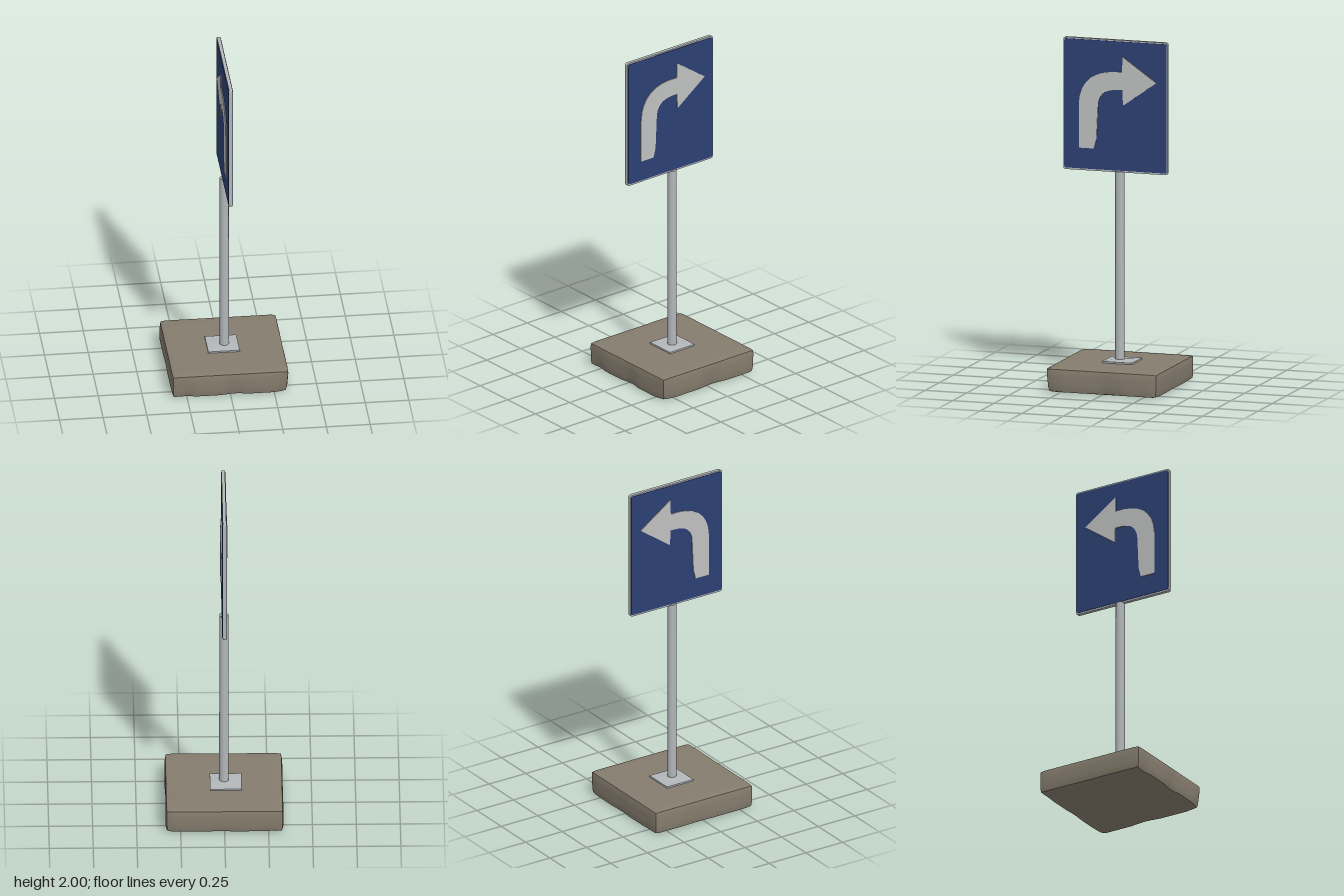
import * as THREE from 'three';
import { mergeVertices, toCreasedNormals } from 'three/addons/utils/BufferGeometryUtils.js';

const material = (name, color) => Object.assign(new THREE.MeshStandardMaterial({ color }), { name });

// Rounded rectangle in the sign plane (u points towards -z, v is up)
function roundedRect(u0, v0, u1, v1, r) {
  const s = new THREE.Shape();
  s.moveTo(u0 + r, v0);
  s.lineTo(u1 - r, v0).quadraticCurveTo(u1, v0, u1, v0 + r);
  s.lineTo(u1, v1 - r).quadraticCurveTo(u1, v1, u1 - r, v1);
  s.lineTo(u0 + r, v1).quadraticCurveTo(u0, v1, u0, v1 - r);
  s.lineTo(u0, v0 + r).quadraticCurveTo(u0, v0, u0 + r, v0);
  return s;
}

// Arrow that rises, bends and points towards -z
function arrowShape() {
  const s = new THREE.Shape();
  s.moveTo(-0.24, 1.365);
  s.lineTo(-0.15, 1.365).lineTo(-0.135, 1.42).lineTo(-0.125, 1.63);
  s.bezierCurveTo(-0.11, 1.69, -0.08, 1.715, 0.022, 1.713);
  s.lineTo(0.025, 1.622).lineTo(0.225, 1.765).lineTo(0.022, 1.905);
  s.lineTo(0.02, 1.815);
  s.bezierCurveTo(-0.14, 1.825, -0.235, 1.76, -0.24, 1.62);
  s.closePath();
  return s;
}

// Extrude a sign-plane shape along x, starting at x0
function plate(shape, x0, depth) {
  return new THREE.ExtrudeGeometry(shape, { depth, bevelEnabled: false, curveSegments: 8 })
    .rotateY(Math.PI / 2).translate(x0, 0, 0);
}

// Worn slab: softened edges, with shallow dents along the lower sides
function slabGeometry(size, height, r) {
  let g = new THREE.BoxGeometry(size, height, size, 20, 5, 20);
  g.deleteAttribute('normal');
  g.deleteAttribute('uv');
  g = mergeVertices(g);
  const pos = g.attributes.position, p = new THREE.Vector3();
  const half = new THREE.Vector3(size, height, size).multiplyScalar(0.5);
  const hi = half.clone().subScalar(r), lo = hi.clone().negate();
  for (let i = 0; i < pos.count; i++) {
    p.fromBufferAttribute(pos, i);
    const side = Math.max(Math.abs(p.x), Math.abs(p.z)) > half.x - 0.001;
    const low = 0.5 - p.y / height;
    const wave = Math.sin(p.x * 21 + 1) * Math.cos(p.z * 17 + 0.6);
    const inner = p.clone().clamp(lo, hi);
    p.sub(inner).setLength(r).add(inner);
    if (side) {
      const k = 1 - low * 0.035 * Math.max(0, wave);
      p.x *= k;
      p.z *= k;
    }
    pos.setXYZ(i, p.x, p.y + height / 2, p.z);
  }
  return toCreasedNormals(g, 0.6);
}

export function createModel() {
  const model = new THREE.Group();
  model.name = 'directionSign';
  const stone = material('stone', 0x857c6d);
  const metal = material('metal', 0xb3b7ba);
  const blue = material('blue', 0x2c4074);
  const white = material('arrowWhite', 0xbfc0c0);
  const add = (name, geometry, mat) => {
    const mesh = new THREE.Mesh(geometry, mat);
    mesh.name = name;
    model.add(mesh);
    return mesh;
  };

  add('base', slabGeometry(0.67, 0.14, 0.018), stone);

  // Foot plate with a low pyramid rising to the pole
  add('footPlate', new THREE.BoxGeometry(0.18, 0.012, 0.18).translate(-0.01, 0.143, -0.01), metal);
  add('footCollar', toCreasedNormals(
    new THREE.CylinderGeometry(0.04, 0.1, 0.006, 4).rotateY(Math.PI / 4), 0.3)
    .translate(0, 0.152, 0), metal);
  add('pole', new THREE.CylinderGeometry(0.026, 0.027, 1.1, 16).translate(0, 0.69, 0), metal);

  // Sign panel: metal core, a blue face and an arrow on each side
  add('signPanel', plate(roundedRect(-0.335, 1.235, 0.29, 2, 0.015), -0.01, 0.02), metal);
  const face = roundedRect(-0.329, 1.245, 0.285, 1.992, 0.012);
  const arrow = arrowShape();
  for (const [side, sx] of [['left', 1], ['right', -1]]) {
    add(side + 'Face', plate(face, sx > 0 ? 0.009 : -0.013, 0.004), blue);
    add(side + 'Arrow', plate(arrow, sx > 0 ? 0.012 : -0.018, 0.006), white);
  }
  return model;
}
